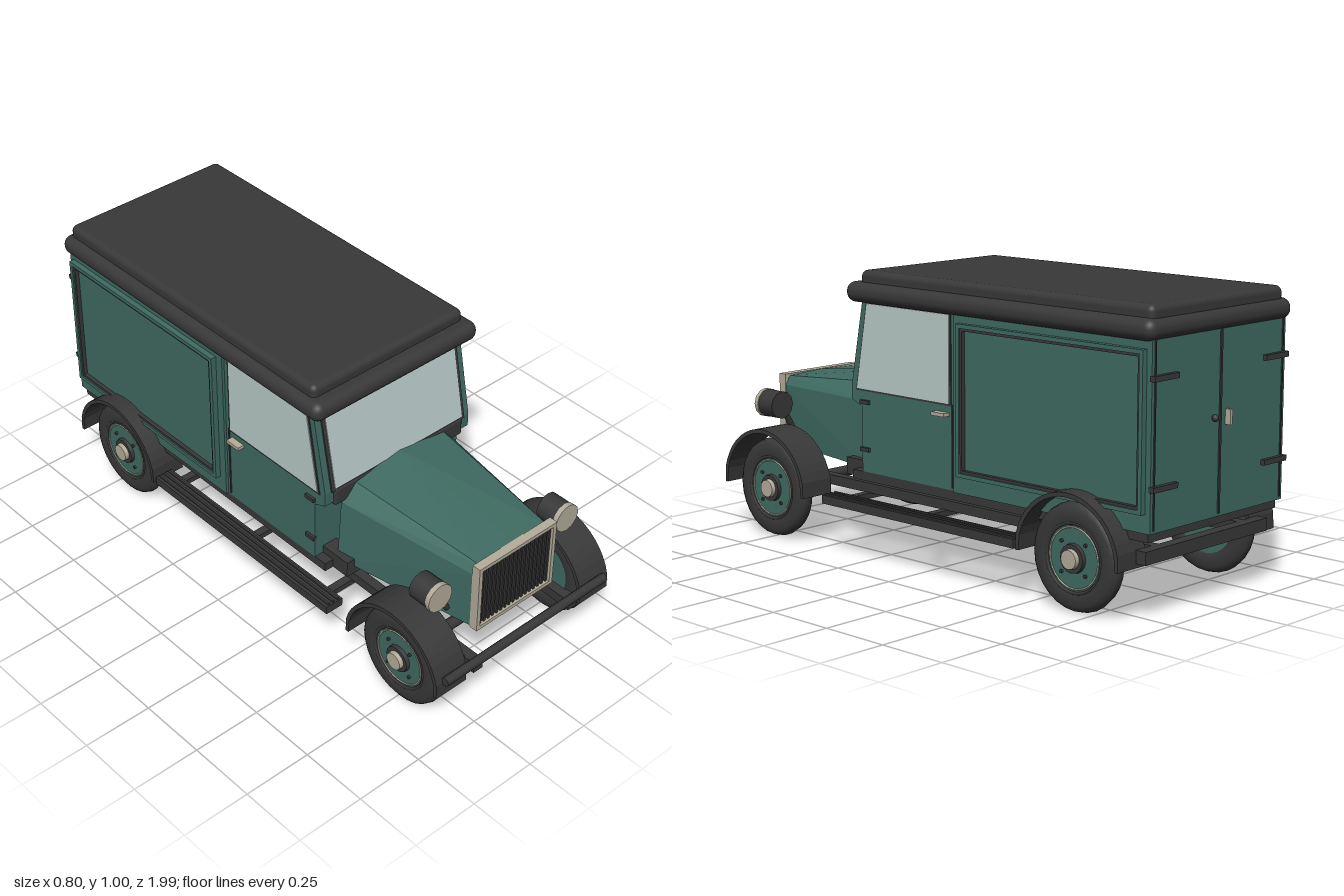
import * as THREE from 'three';
import { RoundedBoxGeometry } from 'three/addons/geometries/RoundedBoxGeometry.js';
import { ConvexGeometry } from 'three/addons/geometries/ConvexGeometry.js';

const material = (name, color) => {
  const m = new THREE.MeshStandardMaterial({ color });
  m.name = name;
  return m;
};

export function createModel() {
  const green = material('bodyGreen', 0x3f6b62);
  const black = material('charcoal', 0x383838);
  const beige = material('nickelBeige', 0xb5ad9b);
  const glass = material('paleGlass', 0xb9cbc8);
  const van = new THREE.Group();
  van.name = 'van';

  const add = (name, geo, mat, parent = van) => {
    const mesh = new THREE.Mesh(geo, mat);
    mesh.name = name;
    parent.add(mesh);
    return mesh;
  };
  // Box given by its limits on each axis
  const box = (name, mat, x0, x1, y0, y1, z0, z1, parent) => {
    const g = new THREE.BoxGeometry(x1 - x0, y1 - y0, z1 - z0);
    g.translate((x0 + x1) / 2, (y0 + y1) / 2, (z0 + z1) / 2);
    return add(name, g, mat, parent);
  };
  const rounded = (name, mat, x0, x1, y0, y1, z0, z1, r) => {
    const g = new RoundedBoxGeometry(x1 - x0, y1 - y0, z1 - z0, 4, r);
    g.translate((x0 + x1) / 2, (y0 + y1) / 2, (z0 + z1) / 2);
    return add(name, g, mat);
  };
  // Same box on the left and right
  const pair = (name, mat, x0, x1, ...rest) => {
    box(name + 'Left', mat, x0, x1, ...rest);
    box(name + 'Right', mat, -x1, -x0, ...rest);
  };
  // Outline in (z, y) extruded from x0 to x1
  const sideExtrude = (pts, x0, x1) => {
    const shape = new THREE.Shape(pts.map(([z, y]) => new THREE.Vector2(z, y)));
    const g = new THREE.ExtrudeGeometry(shape, { depth: x1 - x0, bevelEnabled: false });
    return g.rotateY(-Math.PI / 2).translate(x1, 0, 0);
  };
  const sidePair = (name, mat, pts, x0, x1) => {
    add(name + 'Left', sideExtrude(pts, x0, x1), mat);
    add(name + 'Right', sideExtrude(pts, -x1, -x0), mat);
  };
  const rod = (name, mat, a, b, r, parent) => {
    const p = new THREE.Vector3(...a), q = new THREE.Vector3(...b);
    const m = add(name, new THREE.CylinderGeometry(r, r, p.distanceTo(q), 12), mat, parent);
    m.position.copy(p).add(q).multiplyScalar(0.5);
    m.quaternion.setFromUnitVectors(new THREE.Vector3(0, 1, 0), q.sub(p).normalize());
    return m;
  };

  // Cargo body and cab
  box('cargoBody', green, -0.335, 0.335, 0.3, 0.91, -0.975, -0.14);
  add('cab', sideExtrude([[-0.14, 0.3], [0.31, 0.3], [0.31, 0.53], [0.36, 0.55],
    [0.36, 0.6], [0.3, 0.91], [-0.14, 0.91]], -0.325, 0.325), green);

  // Stepped roof
  rounded('roofRim', black, -0.36, 0.36, 0.89, 0.96, -0.99, 0.36, 0.033);
  rounded('roofTop', black, -0.33, 0.33, 0.94, 1.0, -0.97, 0.31, 0.022);

  // Windscreen, its surround and the dashboard strip
  const screen = new THREE.Group();
  screen.name = 'windscreen';
  screen.position.set(0, 0.745, 0.334);
  screen.rotation.x = -Math.atan2(0.06, 0.31);
  van.add(screen);
  box('windscreenSurround', black, -0.3, 0.3, -0.15, 0.15, -0.004, 0.004, screen);
  box('windscreenGlass', glass, -0.287, 0.287, -0.14, 0.137, 0.002, 0.007, screen);
  rounded('windscreenSill', black, -0.29, 0.29, 0.535, 0.605, 0.335, 0.37, 0.012);

  // Cab doors: glass, seams, hinges, handles
  sidePair('sideWindowSeal', black, [[-0.122, 0.585], [0.336, 0.585], [0.281, 0.893], [-0.122, 0.893]], 0.324, 0.328);
  sidePair('sideWindow', glass, [[-0.115, 0.592], [0.328, 0.592], [0.275, 0.888], [-0.115, 0.888]], 0.326, 0.331);
  pair('doorSeam', black, 0.324, 0.328, 0.31, 0.59, -0.128, -0.122);
  for (const y of [0.375, 0.54]) pair('doorHinge', black, 0.32, 0.335, y, y + 0.014, 0.27, 0.312);
  pair('doorHandle', beige, 0.325, 0.35, 0.55, 0.562, -0.11, -0.05);

  // Raised panel moulding on the cargo sides
  const moulding = (name, mat, x1, z0, z1, y0, y1, w) => {
    pair(name + 'Top', mat, 0.33, x1, y1 - w, y1, z0, z1);
    pair(name + 'Bottom', mat, 0.33, x1, y0, y0 + w, z0, z1);
    pair(name + 'Front', mat, 0.33, x1, y0, y1, z1 - w, z1);
    pair(name + 'Rear', mat, 0.33, x1, y0, y1, z0, z0 + w);
  };
  moulding('panelMoulding', green, 0.355, -0.955, -0.17, 0.36, 0.867, 0.014);
  moulding('panelShadowStrip', black, 0.35, -0.942, -0.183, 0.373, 0.854, 0.01);

  // Rear doors
  box('rearDoorSplit', black, -0.004, 0.004, 0.31, 0.9, -0.98, -0.974);
  pair('rearDoorEdge', black, 0.318, 0.323, 0.31, 0.9, -0.979, -0.974);
  for (const y of [0.43, 0.77]) pair('rearHinge', black, 0.22, 0.338, y, y + 0.018, -0.99, -0.97);
  add('rearKnob', new THREE.SphereGeometry(0.012, 10, 8), black).position.set(0.035, 0.62, -0.985);
  box('rearHandle', beige, -0.04, -0.028, 0.59, 0.64, -0.995, -0.97);

  // Bonnet: faceted hull between radiator and scuttle
  const sections = [
    [0.9, [[0, 0.552], [0.15, 0.546], [0.17, 0.515], [0.17, 0.298]]],
    [0.36, [[0, 0.617], [0.2, 0.592], [0.255, 0.53], [0.27, 0.298]]],
  ];
  const hull = [];
  for (const [z, pts] of sections) for (const [x, y] of pts) for (const s of [-1, 1]) {
    if (x || s > 0) hull.push(new THREE.Vector3(s * x, y, z));
  }
  add('bonnet', new ConvexGeometry(hull), green);

  // Radiator
  box('radiatorCore', black, -0.165, 0.165, 0.305, 0.545, 0.89, 0.903);
  for (let i = 0; i < 17; i++) {
    const x = -0.152 + i * 0.019;
    box('radiatorSlat', black, x - 0.004, x + 0.004, 0.31, 0.54, 0.9, 0.91);
  }
  pair('radiatorSide', beige, 0.16, 0.175, 0.295, 0.555, 0.885, 0.917);
  box('radiatorTop', beige, -0.175, 0.175, 0.541, 0.555, 0.885, 0.917);
  box('radiatorBottom', beige, -0.175, 0.175, 0.295, 0.309, 0.885, 0.917);

  // Floor, frame rails, running boards, axles, bumper
  box('floor', black, -0.325, 0.325, 0.27, 0.302, -0.96, 0.36);
  pair('toeStep', black, 0.23, 0.29, 0.27, 0.33, 0.3, 0.43);
  pair('frameRail', black, 0.2, 0.235, 0.2, 0.235, -0.94, 0.97);
  pair('runningBoard', black, 0.325, 0.395, 0.178, 0.208, -0.465, 0.445);
  for (const x of [0.34, 0.36, 0.38]) pair('boardRib', black, x - 0.004, x + 0.004, 0.205, 0.213, -0.46, 0.44);
  for (const z of [-0.4, 0, 0.38]) box('boardBracket', black, -0.34, 0.34, 0.182, 0.202, z - 0.015, z + 0.015);
  for (const z of [0.755, -0.69]) rod('axle', black, [-0.32, 0.185, z], [0.32, 0.185, z], 0.02);
  box('rearCrossbar', black, -0.31, 0.31, 0.192, 0.235, -0.94, -0.9);
  rod('frontBumper', black, [-0.37, 0.24, 0.975], [0.37, 0.24, 0.975], 0.016);
  pair('bumperBracket', black, 0.2, 0.24, 0.195, 0.235, 0.93, 0.975);

  // Wheel, built along +x with its outer face outwards
  const tyreProfile = [[0.108, -0.024], [0.125, -0.03], [0.155, -0.029], [0.172, -0.018], [0.178, 0],
    [0.172, 0.018], [0.155, 0.029], [0.125, 0.03], [0.108, 0.024]].map(p => new THREE.Vector2(...p));
  const wheel = (side, z) => {
    const g = new THREE.Group();
    g.name = 'wheel';
    g.position.set(side * 0.335, 0.18, z);
    g.rotation.z = -side * Math.PI / 2;
    van.add(g);
    add('tyre', new THREE.LatheGeometry(tyreProfile, 28), black, g);
    add('wheelDisc', new THREE.CylinderGeometry(0.116, 0.116, 0.044, 28), green, g);
    const ring = add('wheelRing', new THREE.TorusGeometry(0.1, 0.003, 6, 28), beige, g);
    ring.rotation.x = Math.PI / 2;
    ring.position.y = 0.023;
    const lip = add('wheelLip', new THREE.TorusGeometry(0.113, 0.006, 6, 28), black, g);
    lip.rotation.x = Math.PI / 2;
    lip.position.y = 0.023;
    add('hubBase', new THREE.CylinderGeometry(0.047, 0.05, 0.02, 16), black, g).position.y = 0.025;
    add('hubCap', new THREE.CylinderGeometry(0.031, 0.035, 0.03, 16), beige, g).position.y = 0.035;
    for (let i = 0; i < 4; i++) {
      const a = Math.PI / 4 + i * Math.PI / 2;
      add('wheelBolt', new THREE.CylinderGeometry(0.006, 0.006, 0.01, 6), black, g)
        .position.set(0.07 * Math.cos(a), 0.025, 0.07 * Math.sin(a));
    }
  };

  // Mudguard arch with flared ends
  const archPoints = (cz) => {
    const arc = (r) => Array.from({ length: 19 }, (_, i) => {
      const a = (14 + i * 152 / 18) * Math.PI / 180;
      return [cz + r * Math.cos(a), 0.18 + r * Math.sin(a)];
    });
    return [[cz + 0.2, 0.178], [cz + 0.213, 0.178], ...arc(0.217),
      [cz - 0.213, 0.178], [cz - 0.2, 0.178], ...arc(0.202).reverse()];
  };
  for (const z of [0.755, -0.69]) {
    sidePair('mudguard', black, archPoints(z), 0.265, 0.398);
    for (const s of [-1, 1]) wheel(s, z);
  }

  // Headlights with slanted stays
  for (const s of [-1, 1]) {
    const lamp = new THREE.Group();
    lamp.name = 'headlight';
    lamp.position.set(s * 0.29, 0.47, 0.815);
    van.add(lamp);
    rod('lampShell', black, [0, 0, -0.045], [0, 0, 0.04], 0.05, lamp);
    rod('lampLens', beige, [0, 0, 0.03], [0, 0, 0.047], 0.052, lamp);
    rod('lampStay', black, [s * -0.03, -0.03, -0.02], [s * -0.1, -0.145, -0.02], 0.011, lamp);
  }
  return van;
}
